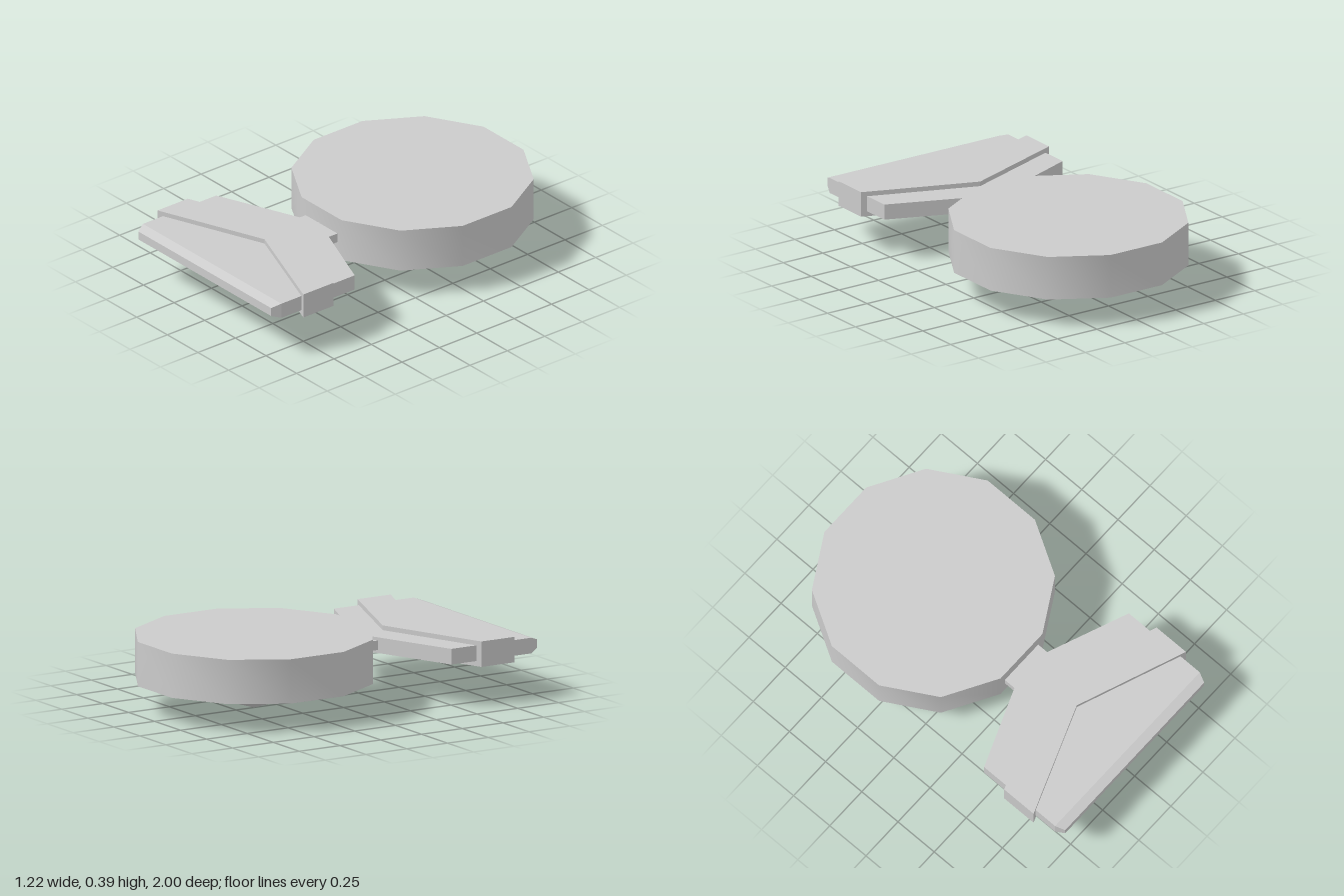
import * as THREE from 'three';
import { toCreasedNormals } from 'three/addons/utils/BufferGeometryUtils.js';

const DISC_Z = -0.39;

export function createModel() {
  const group = new THREE.Group();
  const material = new THREE.MeshStandardMaterial({ color: 0xcccccc });
  const add = (name, geometry, x = 0, y = 0, z = 0) => {
    const mesh = new THREE.Mesh(geometry, material);
    mesh.name = name;
    mesh.position.set(x, y, z);
    group.add(mesh);
    return mesh;
  };

  // Flat slab standing on y0, outlined by the +x half of [x, z] points
  const slab = (half, y0, y1) => {
    const mirrored = half.filter(([x]) => x > 0).reverse().map(([x, z]) => [-x, z]);
    const outline = [...half, ...mirrored].map(([x, z]) => new THREE.Vector2(x, -z));
    // mirrored points close the loop; points on the centre line appear once
    const g = new THREE.ExtrudeGeometry(new THREE.Shape(outline), {
      depth: y1 - y0, bevelEnabled: false,
    });
    return g.rotateX(-Math.PI / 2).translate(0, y0, 0);
  };

  // Twelve-sided disc with a shallow recess underneath
  const profile = [[0, 0.22], [0.49, 0.22], [0.49, 0.155], [0.63, 0.155], [0.63, 0.39], [0, 0.39]]
    .map(([r, y]) => new THREE.Vector2(r, y));
  const disc = new THREE.LatheGeometry(profile, 12, Math.PI / 12);
  add('disc', toCreasedNormals(disc, 0.7), 0, 0, DISC_Z);

  // Six-pointed faceted star hanging in the recess
  add('star', starGeometry(0.425, 0.255, 0.133, 0.225), 0, 0, DISC_Z);

  // Link between disc and ribbon
  add('link', new THREE.BoxGeometry(0.26, 0.05, 0.14), 0, 0.273, 0.25);

  // Ribbon plate with a pointed back
  add('ribbonPlate', slab([[0, 0.235], [0.565, 0.46], [0.565, 0.95]], 0.232, 0.315));

  // Tapered front lip of the plate
  const lip = new THREE.BoxGeometry(1.13, 0.083, 0.05);
  const p = lip.attributes.position;
  for (let i = 0; i < p.count; i++) {
    if (p.getZ(i) > 0) p.setXY(i, p.getX(i) * 0.96, p.getY(i) * 0.56);
  }
  const flatLip = lip.toNonIndexed();
  flatLip.computeVertexNormals();
  add('ribbonLip', flatLip, 0, 0.2735, 0.975);

  // Thicker chevron band wrapped around the plate
  add('chevronBand', slab([[0, 0.4], [0.595, 0.625], [0.595, 0.828], [0, 0.6]], 0.205, 0.34));

  return group;
}

// Star with vertical walls up to yTop and facets meeting at the origin
function starGeometry(outer, inner, yRim, yTop) {
  const at = (i, y) => {
    const r = i % 2 ? inner : outer;
    const a = (i * Math.PI) / 6;
    return [r * Math.sin(a), y, r * Math.cos(a)];
  };
  const v = [];
  for (let i = 0; i < 12; i++) {
    const a = at(i, yRim), b = at(i + 1, yRim), c = at(i + 1, yTop), d = at(i, yTop);
    v.push(...b, ...a, 0, 0, 0); // facet
    v.push(...a, ...b, ...c, ...a, ...c, ...d); // wall
  }
  const g = new THREE.BufferGeometry();
  g.setAttribute('position', new THREE.Float32BufferAttribute(v, 3));
  g.computeVertexNormals();
  return g;
}
